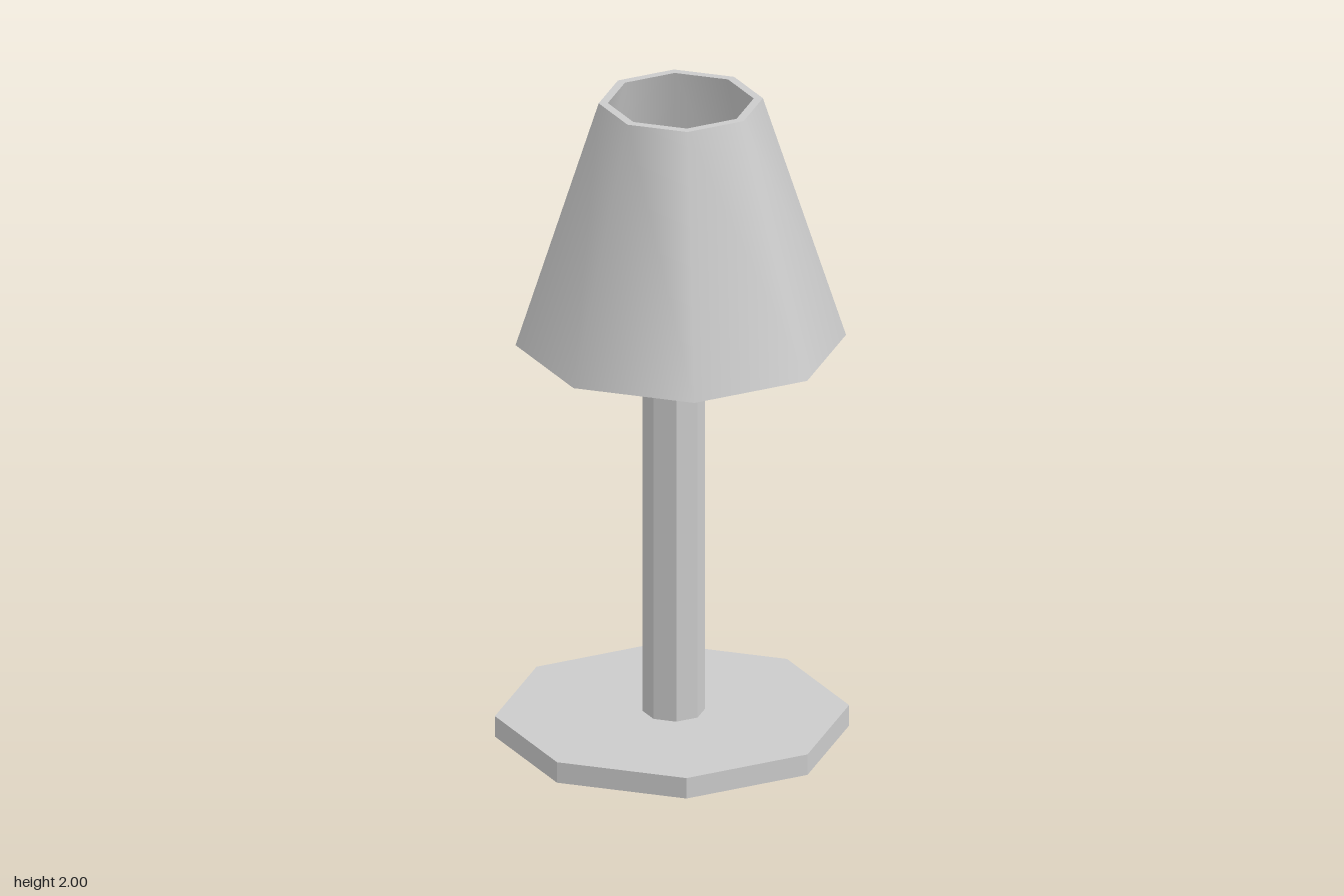
import * as THREE from 'three';
import { mergeGeometries } from 'three/addons/utils/BufferGeometryUtils.js';

const SIDES = 8;
const grey = new THREE.MeshStandardMaterial({ color: 0xcccccc });
const facetedGrey = new THREE.MeshStandardMaterial({ color: 0xcccccc, flatShading: true });

// Flat-sided octagonal prism standing between two heights
function prism(name, radius, bottom, top, z = 0) {
  const mesh = new THREE.Mesh(new THREE.CylinderGeometry(radius, radius, top - bottom, SIDES), facetedGrey);
  mesh.name = name;
  mesh.position.set(0, (bottom + top) / 2, z);
  return mesh;
}

// Turns a closed profile, one band per edge, so sides are smooth and rims stay sharp
function turnedShell(profile) {
  const points = profile.map(([r, y]) => new THREE.Vector2(r, y));
  return mergeGeometries(points.map((p, i) =>
    new THREE.LatheGeometry([p, points[(i + 1) % points.length]], SIDES)));
}

export function createModel() {
  const lamp = new THREE.Group();
  lamp.name = 'tableLamp';

  // Base plate and stem
  lamp.add(prism('base', 0.522, 0, 0.065));
  lamp.add(prism('stem', 0.092, 0.06, 1.6, -0.008));

  // Thick hollow shade, open at both ends and set slightly off centre
  const shade = new THREE.Mesh(
    turnedShell([[0.487, 1.24], [0.242, 2], [0.215, 2], [0.43, 1.24]]), grey);
  shade.name = 'shade';
  shade.position.set(0.016, 0, -0.021);
  lamp.add(shade);

  return lamp;
}
